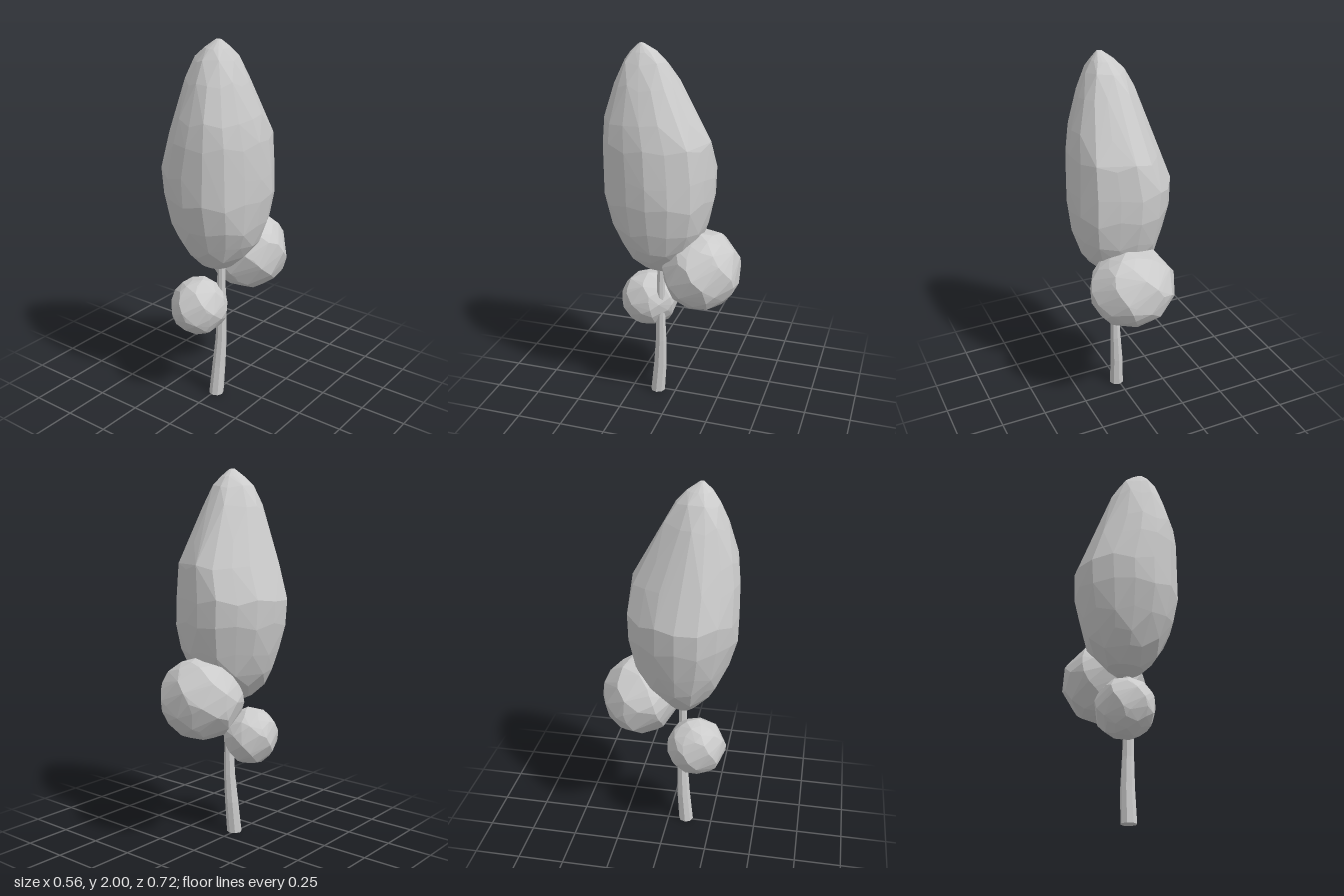
import * as THREE from 'three';
import { ConvexGeometry } from 'three/addons/geometries/ConvexGeometry.js';

const material = new THREE.MeshStandardMaterial({ color: 0xcccccc, flatShading: true });

function mesh(name, geometry) {
  const m = new THREE.Mesh(geometry, material);
  m.name = name;
  return m;
}

// Tall crown: y, then the x range and z range of each section.
function crown() {
  const sections = [
    [0.77, -0.04, 0.04, 0.04, 0.11],
    [0.80, -0.10, 0.10, 0.00, 0.17],
    [0.88, -0.17, 0.175, -0.08, 0.24],
    [0.95, -0.21, 0.222, -0.14, 0.28],
    [1.05, -0.24, 0.257, -0.18, 0.325],
    [1.20, -0.273, 0.28, -0.212, 0.362],
    [1.33, -0.282, 0.28, -0.212, 0.365],
    [1.50, -0.215, 0.268, -0.19, 0.365],
    [1.62, -0.17, 0.245, -0.125, 0.348],
    [1.80, -0.11, 0.195, -0.03, 0.293],
    [1.90, -0.055, 0.15, 0.03, 0.25],
    [1.96, 0.0, 0.115, 0.08, 0.21],
    [2.00, 0.055, 0.085, 0.14, 0.165],
  ];
  // Uneven outline of the crown as seen from the top, starting at +x towards +z
  const outline = [1, 0.99, 1.04, 1.04, 1, 0.99, 1, 1.05, 1.01, 0.95, 0.94, 1.01, 1, 0.98, 1.07, 1.02];
  const points = [];
  sections.forEach(([y, x0, x1, z0, z1], r) => outline.forEach((k, i) => {
    const a = i / outline.length * Math.PI * 2;
    const f = k + 0.01 * Math.sin(i * 7.3 + r * 4.7);
    const lift = r > 1 && r < 11 ? 0.015 * Math.sin(i * 3.7 + r * 1.9) : 0;
    points.push(new THREE.Vector3(
      (x0 + x1) / 2 + Math.cos(a) * f * (x1 - x0) / 2,
      y + lift,
      (z0 + z1) / 2 + Math.sin(a) * f * (z1 - z0) / 2));
  }));
  return new ConvexGeometry(points);
}

// Ball of leaves with irregular facets: a hull around an uneven spiral of points.
function leafBall(name, center, radii, count, phase) {
  const points = [];
  for (let i = 0; i < count; i++) {
    const y = 1 - 2 * (i + 0.5) / count, s = Math.sqrt(1 - y * y);
    const a = i * 2.39996 + 0.25 * Math.sin(i * 4.3 + phase);
    const lump = 1 + 0.025 * Math.sin(i * 9.1 + phase);
    points.push(new THREE.Vector3(
      Math.cos(a) * s * radii[0], y * radii[1], Math.sin(a) * s * radii[2]).multiplyScalar(lump));
  }
  const m = mesh(name, new ConvexGeometry(points));
  m.position.set(...center);
  return m;
}

// Bent, tapering eight-sided trunk: x, y, z, radius of each station.
function trunk() {
  const stations = [
    [0.009, 0, 0.102, 0.041],
    [0.015, 0.18, 0.085, 0.037],
    [0.024, 0.34, 0.077, 0.031],
    [0.028, 0.5, 0.077, 0.026],
    [0.024, 0.8, 0.074, 0.021],
    [0.022, 0.95, 0.074, 0.016],
  ];
  const g = new THREE.CylinderGeometry(1, 1, stations.length - 1, 8, stations.length - 1);
  const p = g.attributes.position;
  for (let i = 0; i < p.count; i++) {
    const [x, y, z, r] = stations[Math.round(p.getY(i) + (stations.length - 1) / 2)];
    p.setXYZ(i, x + p.getX(i) * r, y, z + p.getZ(i) * r);
  }
  g.rotateY(0);
  g.computeVertexNormals();
  return g;
}

export function createModel() {
  const tree = new THREE.Group();
  tree.name = 'tree';
  tree.add(
    mesh('trunk', trunk()),
    mesh('crown', crown()),
    leafBall('backLeafBall', [0.03, 0.807, -0.155], [0.233, 0.217, 0.211], 110, 0.6),
    leafBall('frontLeafBall', [-0.054, 0.555, 0.165], [0.152, 0.158, 0.161], 90, 2.1),
  );
  return tree;
}
